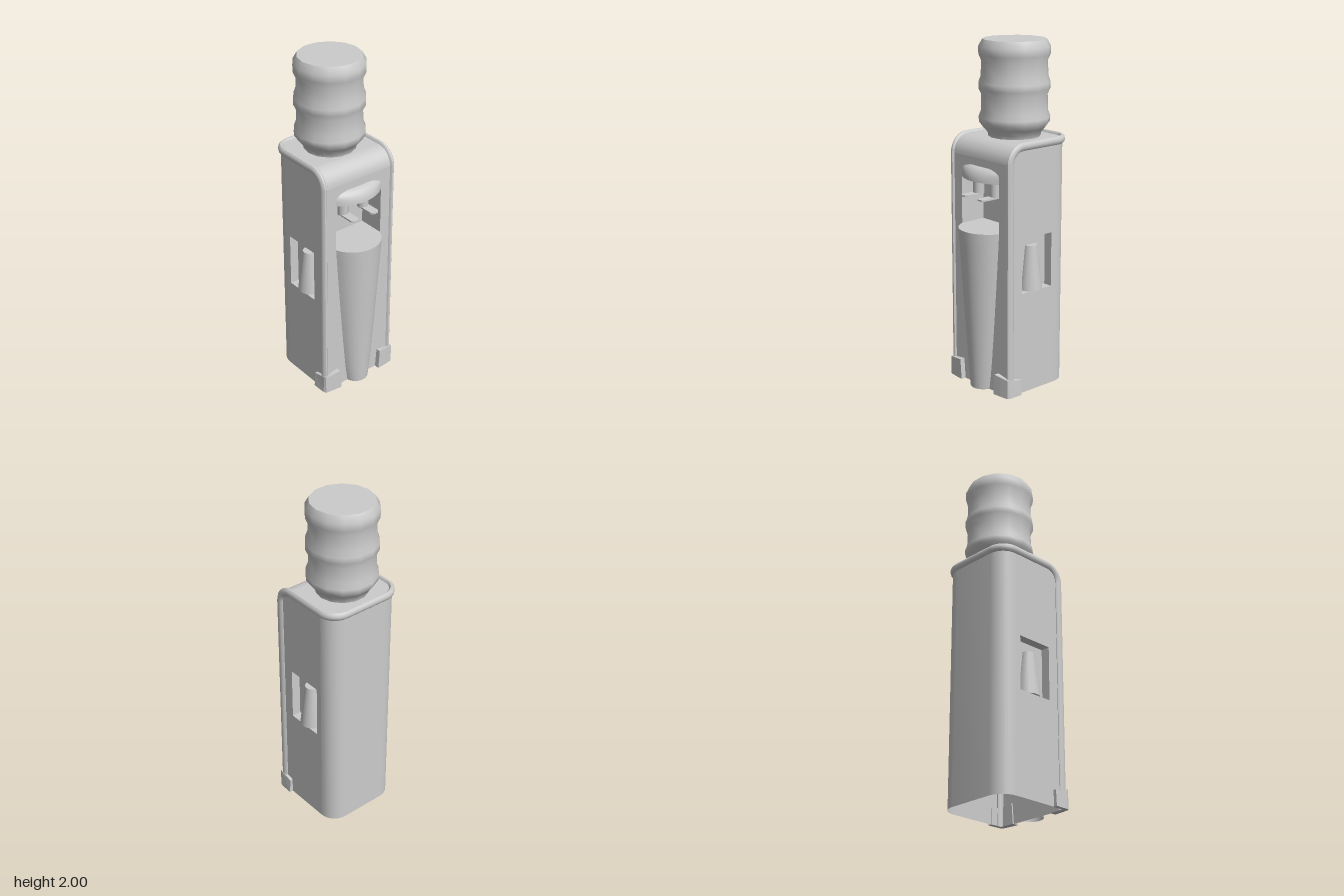
import * as THREE from 'three';
import { toCreasedNormals } from 'three/addons/utils/BufferGeometryUtils.js';

const material = new THREE.MeshStandardMaterial({ color: 0xcccccc, side: THREE.DoubleSide });
const V = (x, y, z) => new THREE.Vector3(x, y, z);
const range = (n, f) => Array.from({ length: n + 1 }, (_, i) => f(i / n));

// Main sizes
const SIDE = 0.24, FRONT = 0.18, BACK = -0.28, TOP = 1.455, ROUND = 0.1;
const ALCOVE = { w: 0.16, y0: 0.95, y1: 1.235, back: 0.02 };
const POCKET = { z0: -0.145, z1: 0.08, y0: 0.6, y1: 0.92, back: 0.185 };

// Surface through a row of cross-sections with equal point counts
function loft(rows, closed = false) {
  const n = rows[0].length, index = [];
  const span = closed ? n : n - 1;
  for (let r = 0; r < rows.length - 1; r++) {
    for (let i = 0; i < span; i++) {
      const j = (i + 1) % n, a = r * n, b = a + n;
      index.push(a + i, a + j, b + i, a + j, b + j, b + i);
    }
  }
  const g = new THREE.BufferGeometry().setFromPoints(rows.flat());
  g.setIndex(index);
  g.computeVertexNormals();
  return toCreasedNormals(g, 0.7);
}

function rectHole(x0, x1, y0, y1) {
  return new THREE.Path([[x0, y0], [x0, y1], [x1, y1], [x1, y0]].map(p => new THREE.Vector2(...p)));
}

export function createModel() {
  const model = new THREE.Group();
  const add = (name, geometry, parent = model) => {
    const mesh = new THREE.Mesh(geometry, material);
    mesh.name = name;
    parent.add(mesh);
    return mesh;
  };

  // Side walls with pockets, each holding a half-sunk tapered cup stack
  const sideShape = new THREE.Shape();
  sideShape.moveTo(-0.18, 0);
  sideShape.lineTo(FRONT, 0);
  sideShape.lineTo(FRONT, TOP - ROUND);
  sideShape.absarc(FRONT - ROUND, TOP - ROUND, ROUND, 0, Math.PI / 2);
  sideShape.lineTo(-0.18, TOP);
  sideShape.closePath();
  sideShape.holes.push(rectHole(POCKET.z0, POCKET.z1, POCKET.y0, POCKET.y1));
  for (const s of [1, -1]) {
    const label = s > 0 ? 'left' : 'right';
    const wall = new THREE.ShapeGeometry(sideShape, 8).rotateY(-Math.PI / 2);
    add(label + 'Wall', wall.translate(s * SIDE, 0, 0));
    const ring = x => [[POCKET.y0, POCKET.z0], [POCKET.y1, POCKET.z0], [POCKET.y1, POCKET.z1], [POCKET.y0, POCKET.z1]]
      .map(([y, z]) => V(s * x, y, z));
    const centre = range(3, () => V(s * POCKET.back, 0.76, -0.033));
    add(label + 'Pocket', loft([ring(SIDE), ring(POCKET.back), centre], true));
    const cup = add(label + 'Cups', new THREE.CylinderGeometry(0.04, 0.07, 0.26, 14));
    cup.position.set(s * POCKET.back, 0.73, -0.033);
  }

  // Back wall with rounded corners, running from side to side
  const cornerX = SIDE - ROUND, cornerZ = BACK + ROUND;
  const backLine = y => [
    ...range(8, t => V(cornerX + ROUND * Math.cos(t * Math.PI / 2), y, cornerZ - ROUND * Math.sin(t * Math.PI / 2))),
    ...range(8, t => V(-cornerX - ROUND * Math.sin(t * Math.PI / 2), y, cornerZ - ROUND * Math.cos(t * Math.PI / 2))),
  ];
  add('backWall', loft([backLine(0), backLine(TOP)]));

  // Front panel with the dispensing alcove
  const frontShape = new THREE.Shape([[-SIDE, 0], [SIDE, 0], [SIDE, TOP - ROUND], [-SIDE, TOP - ROUND]]
    .map(p => new THREE.Vector2(...p)));
  frontShape.holes.push(rectHole(-ALCOVE.w, ALCOVE.w, ALCOVE.y0, ALCOVE.y1));
  add('frontPanel', new THREE.ShapeGeometry(frontShape).translate(0, 0, FRONT));
  const alcoveRing = z => [[-1, ALCOVE.y0], [1, ALCOVE.y0], [1, ALCOVE.y1], [-1, ALCOVE.y1]]
    .map(([s, y]) => V(s * ALCOVE.w, y, z));
  const alcoveCentre = range(3, () => V(0, 1.09, ALCOVE.back));
  add('alcove', loft([alcoveRing(FRONT), alcoveRing(ALCOVE.back), alcoveCentre], true));

  // Curved front edge and flat top
  add('topFrontEdge', loft(range(8, t => [-SIDE, SIDE].map(x =>
    V(x, TOP - ROUND + ROUND * Math.sin(t * Math.PI / 2), FRONT - ROUND + ROUND * Math.cos(t * Math.PI / 2))))));
  const topShape = new THREE.Shape([
    new THREE.Vector2(-SIDE, -(FRONT - ROUND)), new THREE.Vector2(SIDE, -(FRONT - ROUND)),
    ...backLine(0).map(p => new THREE.Vector2(p.x, -p.z)),
  ]);
  add('topPanel', new THREE.ShapeGeometry(topShape).rotateX(-Math.PI / 2).translate(0, TOP, 0));

  // Trim tube: up the front legs, back along the top and round the rear
  const path = [];
  const out = V(1, 0, 0);
  path.push({ p: V(0.238, 0, 0.167), out, up: V(0, 0, 1) });
  range(8, t => {
    const a = t * Math.PI / 2, up = V(0, Math.sin(a), Math.cos(a));
    path.push({ p: V(0.238, 1.355, 0.077).addScaledVector(up, 0.09), out, up });
  });
  range(8, t => {
    const a = t * Math.PI / 2, o = V(Math.cos(a), 0, -Math.sin(a));
    path.push({ p: V(0.14, 1.445, -0.18).addScaledVector(o, 0.098), out: o, up: V(0, 1, 0) });
  });
  const flip = v => V(-v.x, v.y, v.z);
  const mirrored = path.map(f => ({ p: flip(f.p), out: flip(f.out), up: f.up })).reverse();
  add('trimTube', loft([...path, ...mirrored].map(f => range(9, t => {
    const a = t * Math.PI * 1.8;
    return f.p.clone().addScaledVector(f.out, 0.017 * Math.cos(a)).addScaledVector(f.up, 0.024 * Math.sin(a));
  })), true));

  // Bowed section: an arc of half-width w reaching forward to z = f
  const bow = (w, f, y) => {
    const d = Math.max(f - FRONT, 0.0005);
    const r = (w * w + d * d) / (2 * d), half = Math.atan2(w, r - d);
    return range(12, t => {
      const a = (t * 2 - 1) * half;
      return V(r * Math.sin(a), y, f - r + r * Math.cos(a));
    });
  };
  const backRow = y => range(12, t => V((t * 2 - 1) * ALCOVE.w, y, ALCOVE.back + 0.001));

  // Tapered column with the drip tray on top
  add('drainColumn', loft([
    ...range(10, t => bow(0.074 + 0.086 * Math.pow(t, 0.8), 0.238 + 0.053 * t, 0.953 * t)),
    backRow(0.953),
  ]));

  // Rounded hood above the taps
  add('hood', loft([
    backRow(ALCOVE.y1 - 0.001),
    ...range(8, u => {
      const t = Math.sin(u * Math.PI / 2);
      return bow(0.16 * (1 - 0.5 * Math.pow(t, 6)), FRONT + 0.056 * Math.sqrt(1 - t * t), 1.234 + 0.076 * t);
    }),
  ]));

  // Taps with push paddles
  const paddleShape = new THREE.Shape([[-0.027, -0.13], [0.027, -0.13], [0.027, -0.232], [0.016, -0.245], [-0.016, -0.245], [-0.027, -0.232]]
    .map(p => new THREE.Vector2(...p)));
  for (const x of [-0.071, 0.071]) {
    const tap = new THREE.Group();
    tap.name = x > 0 ? 'leftTap' : 'rightTap';
    tap.position.x = x;
    add('spout', new THREE.CylinderGeometry(0.032, 0.032, 0.1, 12), tap).position.set(0, 1.186, 0.13);
    const paddle = new THREE.ExtrudeGeometry(paddleShape, { depth: 0.009, bevelEnabled: false });
    add('paddle', paddle.rotateX(-Math.PI / 2).translate(0, 1.135, 0), tap);
    model.add(tap);
  }

  // Corner feet wrapping the front edges, tops falling away from the corner
  const footPlan = [[0.143, 0.211], [0.2, 0.207], [0.252, 0.2], [0.26, 0.185], [0.262, 0.1], [0.235, 0.1], [0.235, 0.172], [0.143, 0.172]];
  for (const s of [1, -1]) {
    const shape = new THREE.Shape(footPlan.map(([x, z]) => new THREE.Vector2(s * x, -z)));
    const g = new THREE.ExtrudeGeometry(shape, { depth: 0.12, bevelEnabled: false }).rotateX(-Math.PI / 2);
    const p = g.attributes.position;
    for (let i = 0; i < p.count; i++) {
      if (p.getY(i) < 0.06) continue;
      const x = Math.abs(p.getX(i)), z = p.getZ(i);
      p.setY(i, 0.122 - 0.1 * Math.max(0, x - 0.15) - 0.22 * Math.max(0, 0.19 - z) * (x > 0.2 ? 1 : 0));
      p.setX(i, s * (x < 0.15 ? x + 0.01 : Math.min(x, 0.257)));
    }
    g.computeVertexNormals();
    add(s > 0 ? 'leftFoot' : 'rightFoot', g);
  }

  // Ribbed water bottle
  const bottle = new THREE.Group();
  bottle.name = 'bottle';
  bottle.position.z = -0.077;
  const profile = [[0.148, 1.45], [0.152, 1.475], [0.178, 1.505], [0.2, 1.535], [0.203, 1.565], [0.19, 1.6], [0.187, 1.69],
    [0.203, 1.725], [0.203, 1.76], [0.19, 1.795], [0.187, 1.88], [0.202, 1.915], [0.203, 1.96], [0.18, 2]];
  const step = Math.PI * 2 / 14;
  add('bottleWall', new THREE.LatheGeometry(profile.map(p => new THREE.Vector2(...p)), 14, step / 2), bottle);
  add('bottleEnd', new THREE.CircleGeometry(0.18, 14).rotateX(-Math.PI / 2).translate(0, 2, 0), bottle);
  model.add(bottle);

  return model;
}
